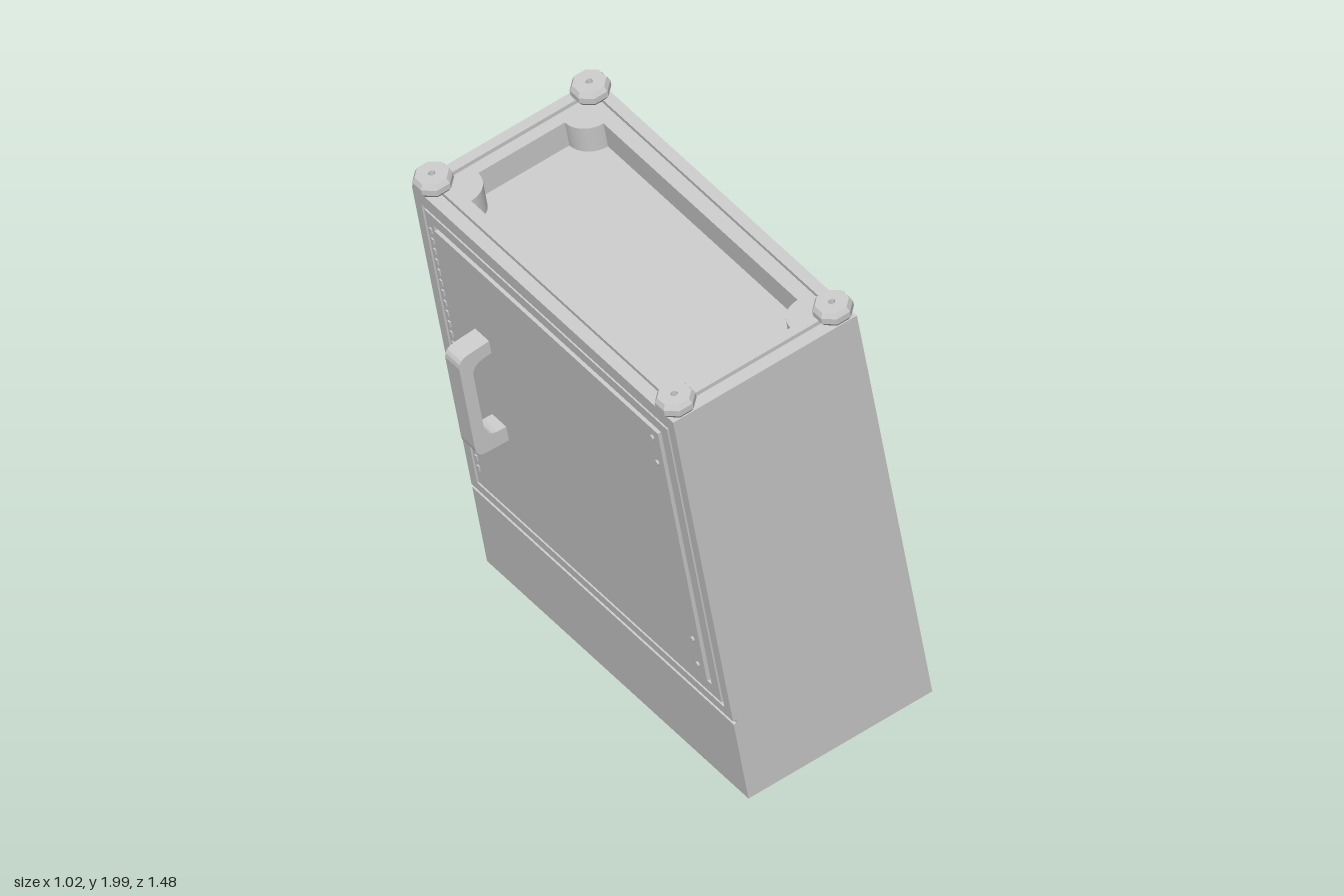
import * as THREE from 'three';

const grey = new THREE.MeshStandardMaterial({ color: 0xcccccc });
grey.name = 'light grey';
const greySheet = grey.clone();
greySheet.side = THREE.DoubleSide;
greySheet.flatShading = true;

// Half sizes of the cabinet, in its own upright frame
const W = 0.3525, H = 0.82, D = 0.73, SKIN = 0.012;

function rect(x0, x1, y0, y1, Type = THREE.Shape) {
  const s = new Type();
  s.moveTo(x0, y0); s.lineTo(x1, y0); s.lineTo(x1, y1); s.lineTo(x0, y1); s.closePath();
  return s;
}

// Rectangle whose corners are cut away by quarter discs
function notchedRect(a, b, r) {
  const p = new THREE.Path();
  const q = Math.PI / 2;
  p.moveTo(a, -b + r);
  p.absarc(a, b, r, -q, -2 * q, true);
  p.absarc(-a, b, r, 0, -q, true);
  p.absarc(-a, -b, r, q, 0, true);
  p.absarc(a, -b, r, 2 * q, q, true);
  p.closePath();
  return p;
}

function add(group, name, geometry, x = 0, y = 0, z = 0, material = grey) {
  const m = new THREE.Mesh(geometry, material);
  m.name = name;
  m.position.set(x, y, z);
  group.add(m);
  return m;
}

function slab(shape, hole, depth) {
  if (hole) shape.holes.push(hole);
  return new THREE.ExtrudeGeometry(shape, { depth, bevelEnabled: false, curveSegments: 6 });
}
const upSlab = (shape, hole, depth) => slab(shape, hole, depth).rotateX(-Math.PI / 2);
const doorSlab = (shape, hole, depth) => slab(shape, hole, depth).rotateY(-Math.PI / 2);

// Open tapering tube from two chamfered rectangles [x0, x1, z0, z1, chamfer, y]
function chuteGeometry(top, bottom) {
  const ring = ([x0, x1, z0, z1, c, y]) => [
    [x0 + c, z0], [x1 - c, z0], [x1, z0 + c], [x1, z1 - c],
    [x1 - c, z1], [x0 + c, z1], [x0, z1 - c], [x0, z0 + c],
  ].map(([x, z]) => [x, y, z]);
  const a = ring(top), b = ring(bottom), pos = [];
  for (let i = 0; i < 8; i++) {
    const j = (i + 1) % 8;
    for (const v of [a[i], a[j], b[j], a[i], b[j], b[i]]) pos.push(...v);
  }
  const g = new THREE.BufferGeometry();
  g.setAttribute('position', new THREE.Float32BufferAttribute(pos, 3));
  g.computeVertexNormals();
  return g;
}

export function createModel() {
  const model = new THREE.Group();
  const cabinet = new THREE.Group();
  cabinet.name = 'tiltedCabinet';
  cabinet.position.set(0.0175, 1.075, 0);
  cabinet.rotation.z = THREE.MathUtils.degToRad(10);
  model.add(cabinet);

  // Main body up to the floor of the top recess
  const pan = 0.1, lip = 0.015;
  const bodyH = 2 * H - pan, bodyW = 2 * W - SKIN;
  add(cabinet, 'body', new THREE.BoxGeometry(bodyW, bodyH, 2 * D), SKIN / 2, -pan / 2, 0);

  // Top frame: recess wall, then two raised lips with a groove between
  const x0 = -W + SKIN;
  add(cabinet, 'recessWall', upSlab(rect(x0, W, -D, D), notchedRect(0.254, 0.63, 0.088), pan - lip), 0, H - pan);
  add(cabinet, 'outerLip', upSlab(rect(x0, W, -D, D), rect(-0.313, 0.313, -0.69, 0.69, THREE.Path), lip), 0, H - lip);
  add(cabinet, 'innerLip', upSlab(rect(-0.3, 0.3, -0.667, 0.667), notchedRect(0.254, 0.63, 0.088), lip), 0, H - lip);

  // Access side: lower panel, door surround, door frame and raised door
  const side = -W + SKIN;
  add(cabinet, 'lowerPanel', doorSlab(rect(-D, D, -H, -0.498), null, SKIN), side);
  add(cabinet, 'doorSurround', doorSlab(rect(-D, D, -0.484, H),
    rect(-0.69, 0.69, -0.45, 0.765, THREE.Path), SKIN), side);
  add(cabinet, 'doorFrame', doorSlab(rect(-0.678, 0.678, -0.438, 0.753),
    rect(-0.635, 0.635, -0.39, 0.712, THREE.Path), SKIN), side);
  add(cabinet, 'door', doorSlab(rect(-0.623, 0.623, -0.378, 0.7), null, SKIN + 0.007), side);

  // Fixings along both door edges
  for (let i = 0; i < 24; i++) {
    add(cabinet, 'latchTooth', new THREE.BoxGeometry(0.006, 0.022, 0.012), -W - 0.002, -0.36 + i * 0.045, -0.656);
  }
  for (const y of [-0.33, -0.22, 0.55, 0.66]) {
    add(cabinet, 'hingePin', new THREE.CylinderGeometry(0.01, 0.01, 0.008, 8).rotateZ(Math.PI / 2), -W - 0.01, y, 0.585);
  }

  // Handle: a bracket profile with rounded outer and inner corners
  const h = new THREE.Shape();
  h.moveTo(-0.355, -0.055);
  h.lineTo(-0.445, -0.052);
  h.quadraticCurveTo(-0.482, -0.05, -0.482, -0.01);
  h.lineTo(-0.482, 0.335);
  h.quadraticCurveTo(-0.478, 0.37, -0.44, 0.372);
  h.lineTo(-0.355, 0.378);
  h.lineTo(-0.355, 0.327);
  h.lineTo(-0.395, 0.322);
  h.quadraticCurveTo(-0.437, 0.315, -0.437, 0.275);
  h.lineTo(-0.437, 0.05);
  h.quadraticCurveTo(-0.432, 0.008, -0.395, 0.006);
  h.lineTo(-0.355, 0.004);
  h.closePath();
  add(cabinet, 'handle', new THREE.ExtrudeGeometry(h, { depth: 0.078, bevelEnabled: false, curveSegments: 4 }), 0, 0, -0.479);

  // Four faceted feet with a small screw hole
  const profile = [[0.05, 0], [0.066, 0.02], [0.066, 0.042], [0.056, 0.06], [0.012, 0.06], [0.01, 0.03], [0, 0.03]]
    .map(([r, y]) => new THREE.Vector2(r, y));
  const foot = new THREE.LatheGeometry(profile, 8, Math.PI / 8);
  for (const sx of [-1, 1]) for (const sz of [-1, 1]) {
    add(cabinet, 'foot', foot, sx * 0.302, H - 0.003, sz * 0.677, greySheet);
  }

  // Open discharge chute with chamfered corners, under the body
  add(cabinet, 'chute', chuteGeometry(
    [-0.147, 0.198, -0.59, -0.11, 0.04, -H],
    [-0.06, 0.133, -0.456, -0.235, 0.012, -1.075],
  ), 0, 0, 0, greySheet);

  // Bolts around the chute
  for (const x of [-0.2, 0.25]) for (const z of [-0.52, -0.35, -0.18]) {
    add(cabinet, 'chuteBolt', new THREE.CylinderGeometry(0.009, 0.009, 0.006, 8), x, -H - 0.002, z);
  }
  return model;
}
